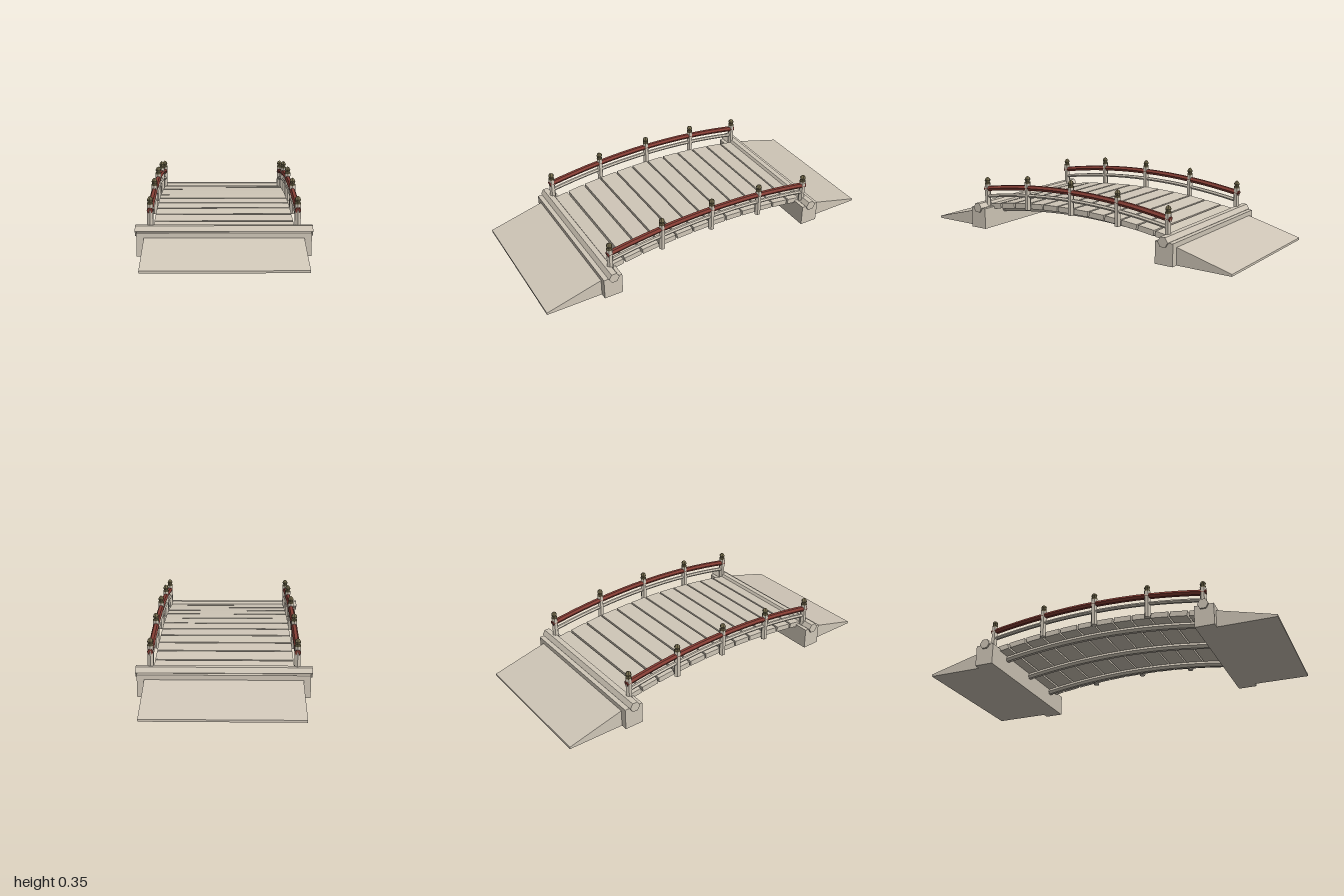
import * as THREE from 'three';

const SAG = 0.143; // arch drop per z squared, shared by deck, beams and rails
const arch = (top, z) => top - SAG * z * z;

export function createModel() {
  const model = new THREE.Group();
  model.name = 'archBridge';

  const mat = (name, color) => {
    const m = new THREE.MeshStandardMaterial({ color, flatShading: true });
    m.name = name;
    return m;
  };
  const stone = mat('paleStone', 0xd0c7b8);
  const red = mat('redLacquer', 0x853d34);
  const bronze = mat('agedBronze', 0x736a4c);

  const add = (parent, name, geometry, material, x = 0, y = 0, z = 0) => {
    const mesh = new THREE.Mesh(geometry, material);
    mesh.name = name;
    mesh.position.set(x, y, z);
    parent.add(mesh);
    return mesh;
  };

  // Hexagonal bar swept along the arch from -half to +half
  const archedBar = (top, half, radius) => {
    const path = new THREE.QuadraticBezierCurve3(
      new THREE.Vector3(0, arch(top, half), -half),
      new THREE.Vector3(0, top + SAG * half * half, 0),
      new THREE.Vector3(0, arch(top, half), half)
    );
    const points = [];
    for (let i = 0; i < 6; i++) {
      const a = (i * Math.PI) / 3;
      points.push(new THREE.Vector2(Math.cos(a) * radius, Math.sin(a) * radius));
    }
    return new THREE.ExtrudeGeometry(new THREE.Shape(points), {
      steps: 16, bevelEnabled: false, extrudePath: path
    });
  };

  // Abutment, sleeper log and approach ramp at each end
  const rampShape = new THREE.Shape([
    new THREE.Vector2(0.68, 0), new THREE.Vector2(1, 0),
    new THREE.Vector2(1, 0.012), new THREE.Vector2(0.68, 0.097)
  ]);
  const rampGeo = new THREE.ExtrudeGeometry(rampShape, { depth: 0.806, bevelEnabled: false });
  rampGeo.translate(0, 0, -0.403).rotateY(-Math.PI / 2);
  const blockGeo = new THREE.BoxGeometry(0.88, 0.12, 0.105);
  const sleeperGeo = new THREE.CylinderGeometry(0.03, 0.03, 0.9, 6).rotateZ(Math.PI / 2);
  for (const name of ['frontEnd', 'backEnd']) {
    const end = new THREE.Group();
    end.name = name;
    add(end, 'abutment', blockGeo, stone, 0, 0.06, 0.6375);
    add(end, 'sleeper', sleeperGeo, stone, 0, 0.122, 0.635);
    add(end, 'ramp', rampGeo, stone);
    if (name === 'backEnd') end.rotation.y = Math.PI;
    model.add(end);
  }

  // Three beams under the deck
  const beamGeo = archedBar(0.14, 0.62, 0.018);
  for (const x of [-0.27, 0, 0.27]) add(model, 'beam', beamGeo, stone, x);

  // Twelve deck planks following the arch
  const pitch = 0.106;
  const plankGeo = new THREE.BoxGeometry(0.72, 0.03, 0.097);
  for (let i = 0; i < 12; i++) {
    const z = (i - 5.5) * pitch;
    const plank = add(model, 'plank', plankGeo, stone, 0, arch(0.171, z), z);
    plank.rotation.x = Math.atan(2 * SAG * z);
  }

  // Railings: posts with finials, red handrail and thin lower rail
  const handrailGeo = archedBar(0.281, 0.636, 0.016);
  const lowerRailGeo = archedBar(0.236, 0.63, 0.011);
  const postGeo = new THREE.CylinderGeometry(0.0175, 0.0175, 0.155, 6);
  const finialGeo = new THREE.LatheGeometry([
    [0, 0], [0.0175, 0], [0.0175, 0.007], [0.012, 0.011],
    [0.0175, 0.024], [0.012, 0.035], [0, 0.043]
  ].map(([r, y]) => new THREE.Vector2(r, y)), 6);
  for (const side of [1, -1]) {
    const railing = new THREE.Group();
    railing.name = side > 0 ? 'leftRailing' : 'rightRailing';
    railing.position.x = side * 0.374;
    add(railing, 'handrail', handrailGeo, red);
    add(railing, 'lowerRail', lowerRailGeo, stone);
    for (const z of [-0.62, -0.31, 0, 0.31, 0.62]) {
      const top = arch(0.308, z);
      add(railing, 'post', postGeo, stone, 0, top - 0.0775, z);
      add(railing, 'finial', finialGeo, bronze, 0, top, z);
    }
    model.add(railing);
  }

  return model;
}
